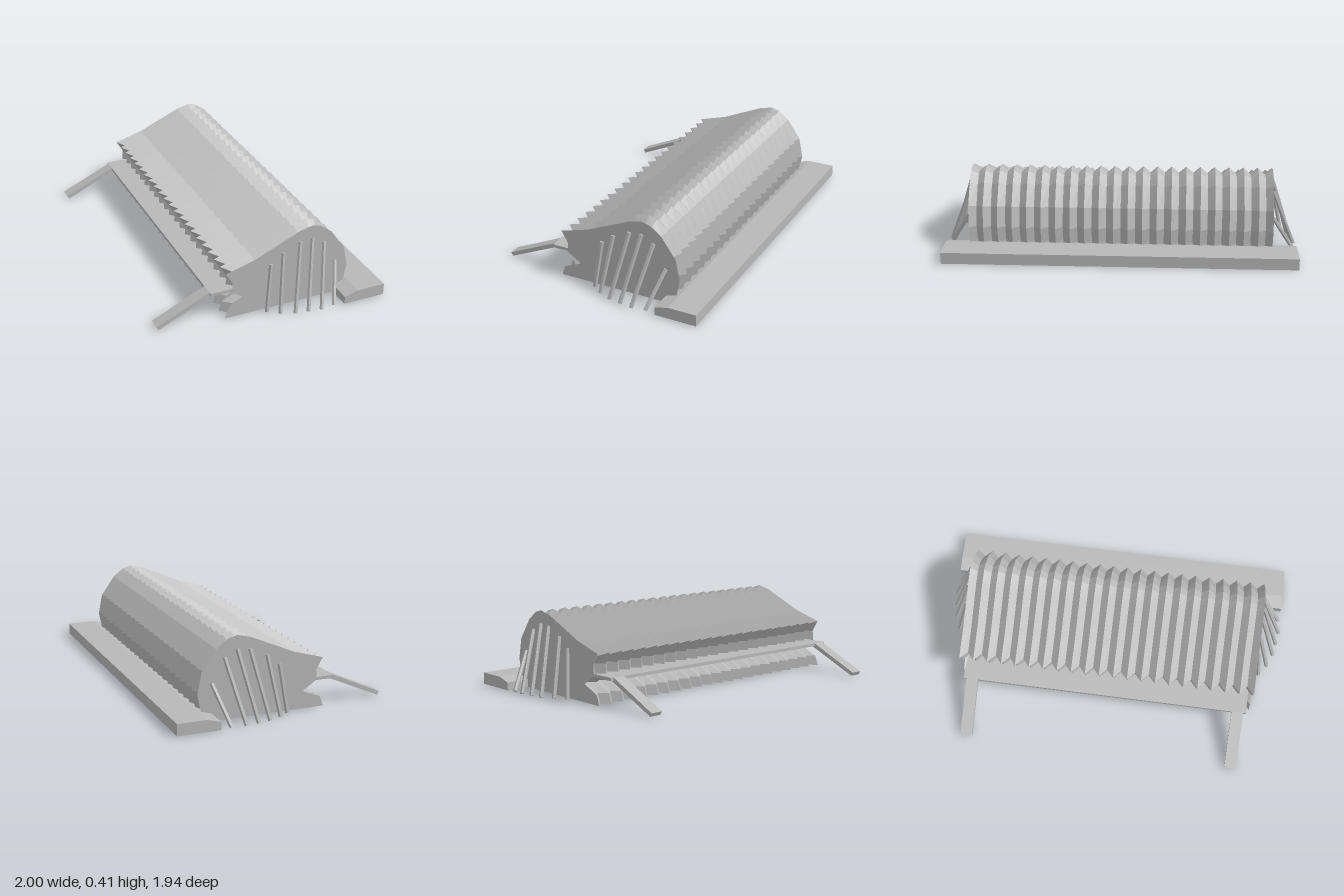
import * as THREE from 'three';

const grey = new THREE.MeshStandardMaterial({ color: 0xb8b8b8, side: THREE.DoubleSide, flatShading: true });
grey.name = 'plain grey';

// Ridge outline of the pleated canopy: [z, y, valley dz, valley dy], from back foot over the top to front foot
const PROFILE = [
  [-0.33, 0, 0.03, 0], [-0.335, 0.06, 0.03, 0], [-0.352, 0.14, 0.03, 0], [-0.33, 0.25, 0.03, -0.01],
  [-0.255, 0.355, 0.02, -0.02], [-0.195, 0.4, 0.01, -0.025], [-0.15, 0.412, 0, -0.03],
  [-0.08, 0.395, -0.01, -0.03], [0.15, 0.295, -0.01, -0.03], [0.305, 0.25, -0.05, -0.02],
  [0.27, 0.19, -0.04, 0], [0.275, 0.14, -0.04, 0], [0.2, 0.09, -0.03, 0],
  [0.295, 0.05, -0.04, 0], [0.312, 0, -0.04, 0],
];
const HALF = 0.782, PLEATS = 21;

function mesh(name, geometry) {
  const m = new THREE.Mesh(geometry, grey);
  m.name = name;
  return m;
}

// Flat outline given as [z, y] points, standing across the x axis
function outline(points) {
  return new THREE.Shape(points.map(([z, y]) => new THREE.Vector2(z, y)));
}

function extrudeAlongX(points, length) {
  return new THREE.ExtrudeGeometry(outline(points), { depth: length, bevelEnabled: false })
    .rotateY(-Math.PI / 2).translate(length / 2, 0, 0);
}

// Alternate ridge and valley cross-sections make the folds
function pleatedShell() {
  const pos = [], index = [], n = PROFILE.length, steps = PLEATS * 2;
  for (let s = 0; s <= steps; s++) {
    const valley = s % 2;
    for (const [z, y, dz, dy] of PROFILE) {
      pos.push(-HALF + (2 * HALF * s) / steps, y + valley * dy, z + valley * dz);
    }
  }
  for (let s = 0; s < steps; s++) {
    for (let i = 0; i < n; i++) {
      const j = (i + 1) % n;
      const a = s * n + i, b = s * n + j, c = b + n, d = a + n;
      index.push(a, b, d, b, c, d);
    }
  }
  const g = new THREE.BufferGeometry();
  g.setAttribute('position', new THREE.Float32BufferAttribute(pos, 3));
  g.setIndex(index);
  const flat = g.toNonIndexed();
  flat.computeVertexNormals();
  return flat;
}

function rodBetween(name, a, b, radius) {
  const dir = b.clone().sub(a);
  const m = mesh(name, new THREE.CylinderGeometry(radius, radius, dir.length(), 6));
  m.position.copy(a).add(b).multiplyScalar(0.5);
  m.quaternion.setFromUnitVectors(new THREE.Vector3(0, 1, 0), dir.normalize());
  return m;
}

export function createModel() {
  const root = new THREE.Group();
  root.name = 'pleatedShelter';
  // The whole structure stands turned on the ground
  const body = new THREE.Group();
  body.name = 'shelterBody';
  const turn = -0.7069;
  body.rotation.y = turn;
  body.position.set(-0.016 * Math.cos(turn), 0, 0.016 * Math.sin(turn));
  root.add(body);

  // Pleated canopy and its two end walls
  body.add(mesh('pleatedCanopy', pleatedShell()));
  for (const side of [-1, 1]) {
    const wall = mesh(side > 0 ? 'leftEndWall' : 'rightEndWall',
      new THREE.ShapeGeometry(outline(PROFILE)).rotateY(-Math.PI / 2));
    wall.position.x = side * HALF;
    if (side > 0) wall.scale.x = -1;
    body.add(wall);
  }

  // Rear slab with a bevelled front edge
  body.add(mesh('rearSlab', extrudeAlongX(
    [[-0.5, 0], [-0.28, 0], [-0.28, 0.04], [-0.35, 0.06], [-0.5, 0.06]], 1.81)));

  // Front shelf
  body.add(mesh('frontShelf', extrudeAlongX(
    [[0.2, 0.127], [0.375, 0.127], [0.375, 0.143], [0.2, 0.143]], 1.516)));

  // Sloping front legs and the fan of end rods, mirrored
  const rods = [ // foot x, foot z, top z, top y
    [0.897, -0.225, -0.28, 0.19], [0.905, -0.152, -0.215, 0.31], [0.895, -0.085, -0.15, 0.345],
    [0.883, -0.02, -0.085, 0.34], [0.855, 0.048, 0.005, 0.3], [0.815, 0.102, 0.07, 0.25],
  ];
  for (const side of [-1, 1]) {
    const leg = mesh('frontLeg', extrudeAlongX(
      [[0.36, 0.125], [0.375, 0.143], [0.65, 0.018], [0.64, 0]], 0.062));
    leg.position.x = side * 0.712;
    body.add(leg);
    for (const [fx, fz, tz, ty] of rods) {
      body.add(rodBetween('endRod',
        new THREE.Vector3(side * fx, 0.004, fz),
        new THREE.Vector3(side * (HALF + 0.004), ty, tz), 0.011));
    }
  }
  return root;
}
